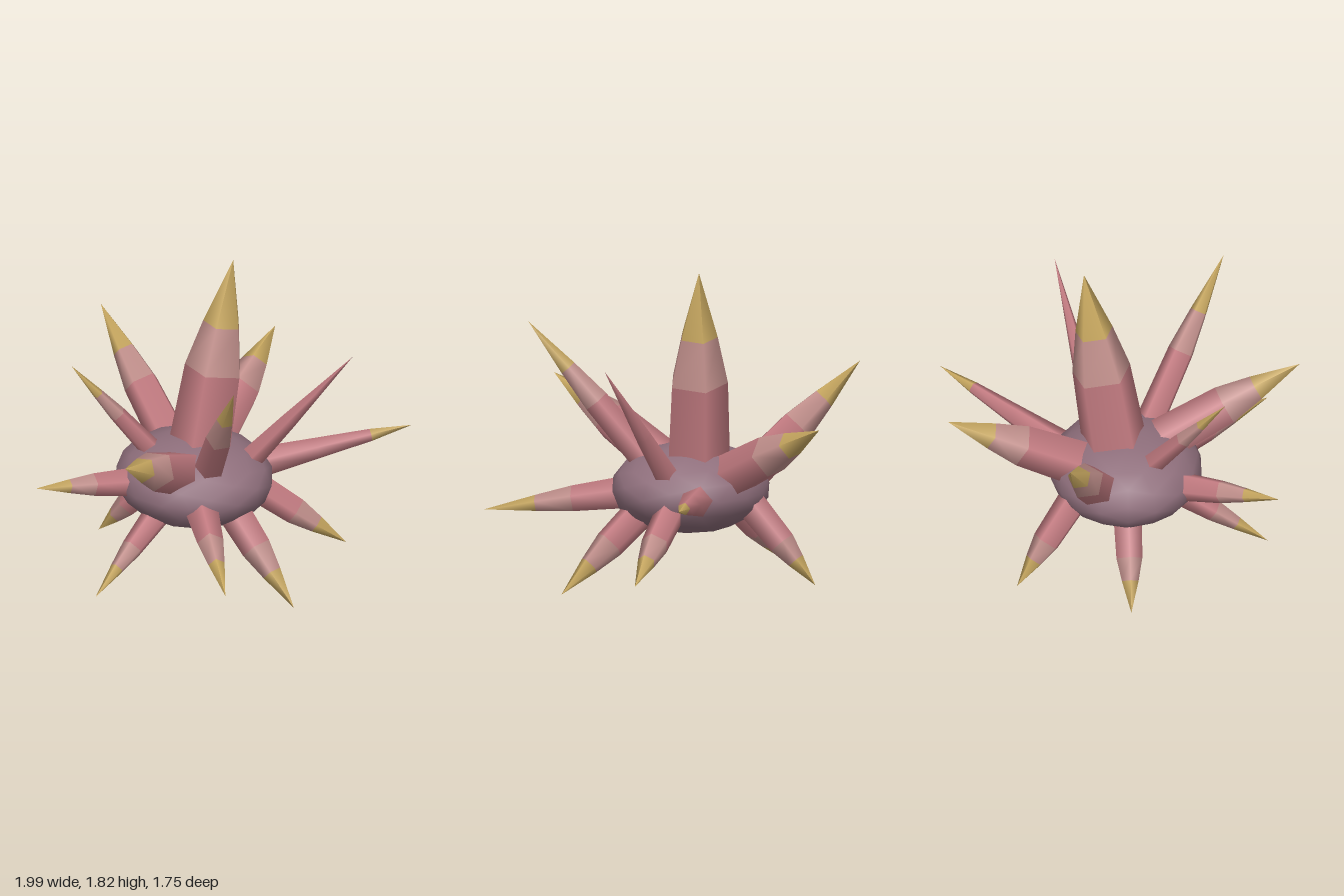
import * as THREE from 'three';

const material = (color) => new THREE.MeshStandardMaterial({ color, side: THREE.DoubleSide });
const UP = new THREE.Vector3(0, 1, 0);

// Outline shapes: radius ratio at the two band borders
const BULGED = [0.9, 0.58];
const SLIM = [0.74, 0.46];
const CONE = [0.62, 0.36];

// Each spike: base on the body, tip, base radius, outline, band borders along its length
const THREE_BANDS = [0.4, 0.65];
const SPIKES = [
  { base: [0.05, 0.75, 0.04], tip: [0.21, 1.83, 0.13], r: 0.19, shape: BULGED },
  { base: [0.15, 0.65, -0.28], tip: [0.32, 1.22, -0.88], r: 0.115, shape: BULGED },
  { base: [0.30, 0.67, -0.05], tip: [0.98, 1.04, -0.16], r: 0.135, shape: BULGED },
  { base: [-0.30, 0.71, 0.12], tip: [-1.0, 1.05, 0.29], r: 0.13, shape: BULGED },
  { base: [-0.18, 0.73, 0.26], tip: [-0.59, 1.48, 0.74], r: 0.085, shape: BULGED },
  { base: [-0.18, 0.74, -0.17], tip: [-0.56, 1.31, -0.42], r: 0.065, shape: SLIM },
  { base: [-0.33, 0.57, -0.18], tip: [-0.86, 0.66, -0.44], r: 0.09, shape: SLIM },
  { base: [-0.26, 0.50, 0.26], tip: [-0.84, 0.37, 0.87], r: 0.105, shape: SLIM },
  { base: [-0.31, 0.41, -0.01], tip: [-0.81, 0.08, -0.06], r: 0.085, shape: SLIM },
  { base: [-0.02, 0.40, -0.28], tip: [-0.03, 0.03, -0.63], r: 0.085, shape: BULGED },
  { base: [0.32, 0.42, -0.20], tip: [0.60, 0.05, -0.39], r: 0.09, shape: BULGED },
  { base: [0.21, 0.47, 0.33], tip: [0.46, 0.16, 0.73], r: 0.09, shape: BULGED },
  { base: [-0.06, 0.45, 0.33], tip: [-0.14, 0.01, 0.82], r: 0.1, shape: BULGED },
  { base: [0.30, 0.55, 0.20], tip: [0.99, 0.70, 0.79], r: 0.1, shape: CONE, bands: [0.4, 0.74], colors: [0, 0, 2] },
  { base: [0.14, 0.66, 0.29], tip: [0.35, 1.39, 0.86], r: 0.075, shape: CONE, colors: [0, 0, 0] },
];

// A five-sided tapering spike made of three stacked bands, rooted inside the body
function makeSpike({ base, tip, r, shape, bands = THREE_BANDS, colors = [0, 1, 2] }, mats) {
  const spike = new THREE.Group();
  spike.name = 'spike';
  const start = new THREE.Vector3(...base);
  const dir = new THREE.Vector3(...tip).sub(start);
  const length = dir.length();
  const stops = [-0.08, bands[0] * length, bands[1] * length, length];
  const radii = [r, r * shape[0], r * shape[1], 0];
  ['spikeRoot', 'spikeMiddle', 'spikeTip'].forEach((name, i) => {
    const h = stops[i + 1] - stops[i];
    const geo = new THREE.CylinderGeometry(radii[i + 1], radii[i], h, 5, 1, true);
    geo.translate(0, stops[i] + h / 2, 0);
    const mesh = new THREE.Mesh(geo, mats[colors[i]]);
    mesh.name = name;
    spike.add(mesh);
  });
  spike.position.copy(start);
  spike.quaternion.setFromUnitVectors(UP, dir.normalize());
  return spike;
}

export function createModel() {
  const model = new THREE.Group();
  model.name = 'spikyCreature';

  // Flattened round body
  const body = new THREE.Mesh(new THREE.IcosahedronGeometry(1, 2), material(0x8f6f7c));
  body.name = 'body';
  body.scale.set(0.43, 0.25, 0.455);
  body.position.set(-0.02, 0.55, 0.03);
  model.add(body);

  // Spikes: pink root, pale middle, ochre tip
  const mats = [0xc47c82, 0xc4928e, 0xc8a860].map(material);
  const spikes = new THREE.Group();
  spikes.name = 'spikes';
  SPIKES.forEach((s) => spikes.add(makeSpike(s, mats)));
  model.add(spikes);
  return model;
}
